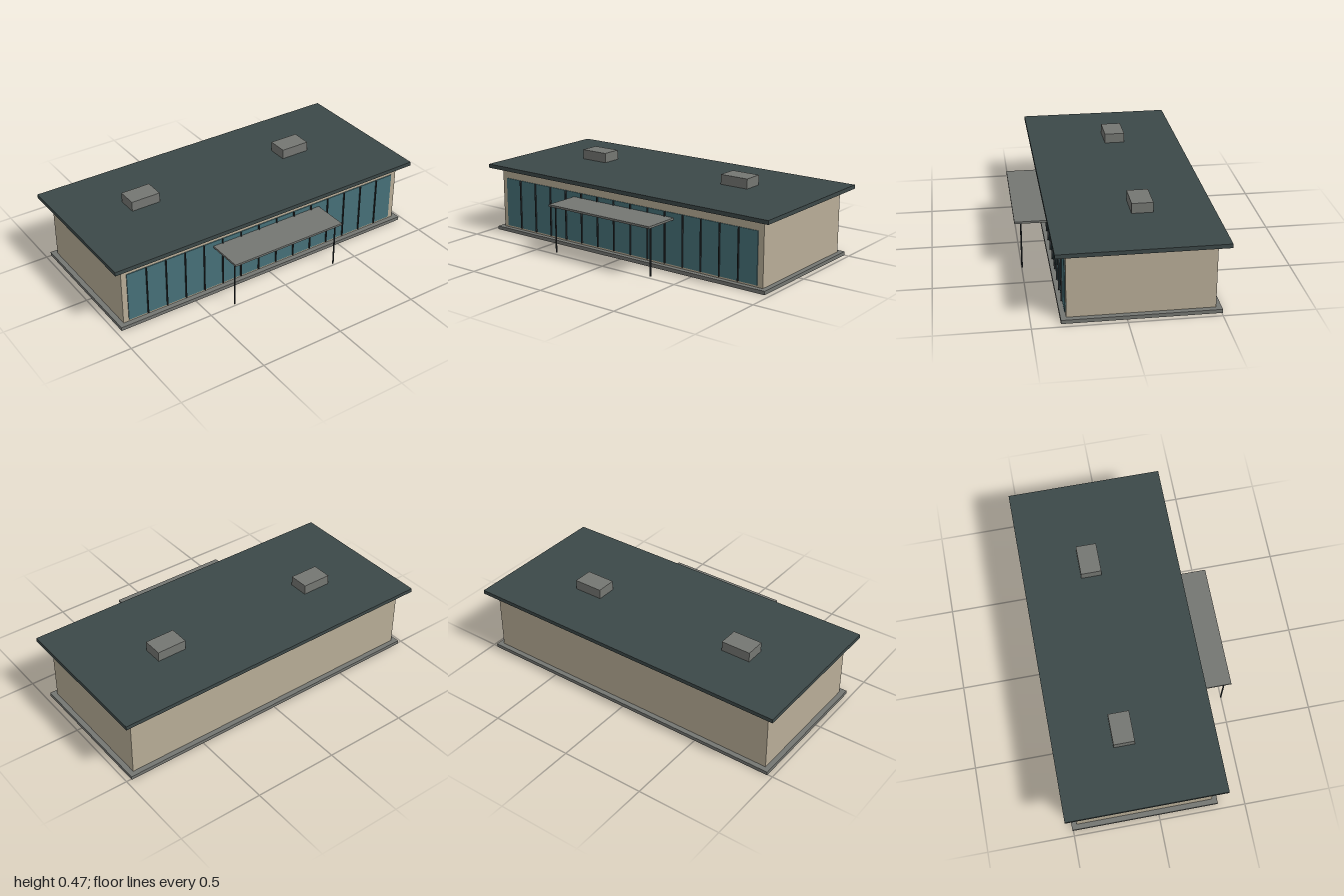
import * as THREE from 'three';

const material = (name, color) => {
  const m = new THREE.MeshStandardMaterial({ color });
  m.name = name;
  return m;
};

export function createModel() {
  const wall = material('sandWall', 0xb8ad97);
  const roof = material('slateRoof', 0x3c4848);
  const concrete = material('greyConcrete', 0x747672);
  const glass = material('tealGlass', 0x467078);
  const metal = material('darkMetal', 0x2b3032);

  const model = new THREE.Group();
  model.name = 'pavilion';

  // Box given by its extents on each axis
  const box = (name, mat, [x0, x1], [y0, y1], [z0, z1], parent = model) => {
    const mesh = new THREE.Mesh(new THREE.BoxGeometry(x1 - x0, y1 - y0, z1 - z0), mat);
    mesh.position.set((x0 + x1) / 2, (y0 + y1) / 2, (z0 + z1) / 2);
    mesh.name = name;
    parent.add(mesh);
    return mesh;
  };

  // Main volumes; the roof floats slightly above the walls
  box('foundation', concrete, [-0.97, 0.97], [0, 0.021], [-0.505, 0.345]);
  box('walls', wall, [-0.94, 0.94], [0.021, 0.387], [-0.475, 0.315]);
  box('roofSlab', roof, [-1, 1], [0.392, 0.415], [-0.535, 0.375]);

  // Rooftop units
  for (const x of [-0.55, 0.482]) {
    box('roofUnit', concrete, [x - 0.089, x + 0.089], [0.415, 0.473], [-0.2, -0.081]);
  }

  // Glazed front: panes with narrow gaps and mullions between them
  const glazing = new THREE.Group();
  glazing.name = 'frontGlazing';
  model.add(glazing);
  const panes = 15, left = -0.911, pitch = 0.1213, gap = 0.007;
  for (let i = 0; i < panes; i++) {
    const x = left + i * pitch;
    box('windowPane', glass, [x + gap / 2, x + pitch - gap / 2], [0.032, 0.33], [0.315, 0.32], glazing);
    if (i > 0) box('mullion', metal, [x - 0.0025, x + 0.0025], [0.032, 0.33], [0.315, 0.328], glazing);
  }

  // Entrance canopy on two slender posts
  const canopy = new THREE.Group();
  canopy.name = 'entranceCanopy';
  model.add(canopy);
  box('canopySlab', concrete, [-0.363, 0.36], [0.291, 0.303], [0.315, 0.535], canopy);
  for (const x of [-0.344, 0.341]) {
    const post = new THREE.Mesh(new THREE.CylinderGeometry(0.0045, 0.0045, 0.28, 8), metal);
    post.position.set(x, 0.152, 0.499);
    post.name = 'canopyPost';
    canopy.add(post);
  }

  return model;
}
